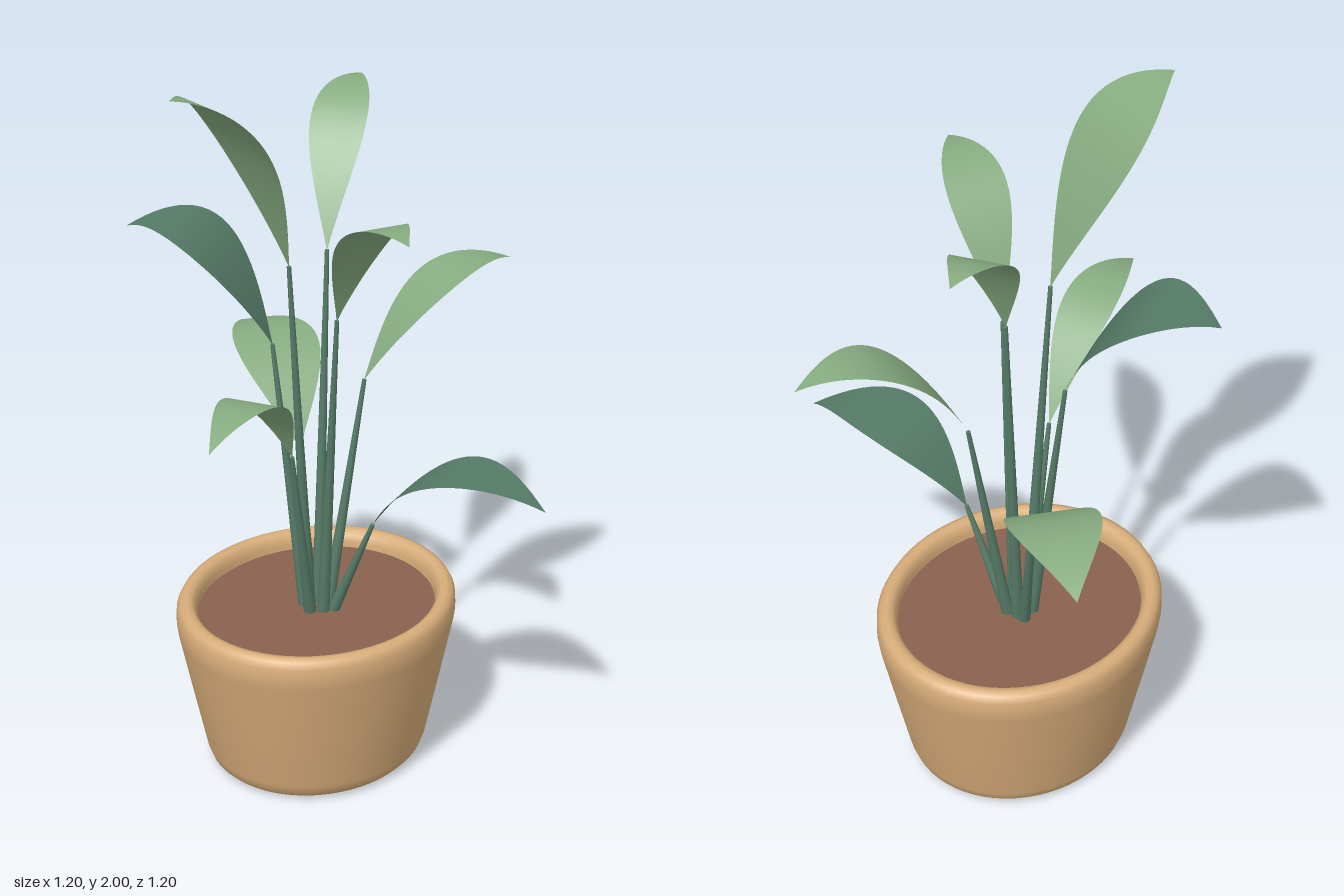
import * as THREE from 'three';

const mat = (name, color, side = THREE.FrontSide) => {
  const m = new THREE.MeshStandardMaterial({ color, side });
  m.name = name;
  return m;
};

// Leaf blade: a pointed oval swept along an arching curve, flat across its width
function bladeGeometry(base, control, tip, halfWidth) {
  const curve = new THREE.QuadraticBezierCurve3(base, control, tip);
  const across = new THREE.Vector3(tip.z - base.z, 0, base.x - tip.x).normalize();
  const geo = new THREE.PlaneGeometry(1, 1, 4, 24);
  const pos = geo.attributes.position;
  const uv = geo.attributes.uv;
  for (let i = 0; i < pos.count; i++) {
    const t = uv.getY(i);
    const w = Math.sin(Math.PI * Math.min(Math.max(t, 0.004), 0.998)) * halfWidth;
    const p = curve.getPoint(t).addScaledVector(across, (0.5 - uv.getX(i)) * 2 * w);
    pos.setXYZ(i, p.x, p.y, p.z);
  }
  geo.computeVertexNormals();
  // Make the front of the blade face upwards
  let up = 0;
  for (let i = 0; i < pos.count; i++) up += geo.attributes.normal.getY(i);
  if (up < 0) {
    const idx = geo.index.array;
    for (let i = 0; i < idx.length; i += 3) [idx[i], idx[i + 1]] = [idx[i + 1], idx[i]];
    geo.computeVertexNormals();
  }
  return geo;
}

// Tapered straight stem between two points
function stemMesh(from, to, material) {
  const dir = to.clone().sub(from);
  const mesh = new THREE.Mesh(new THREE.CylinderGeometry(0.006, 0.018, dir.length(), 10), material);
  mesh.position.copy(from).add(to).multiplyScalar(0.5);
  mesh.quaternion.setFromUnitVectors(new THREE.Vector3(0, 1, 0), dir.normalize());
  mesh.name = 'stem';
  return mesh;
}

export function createModel() {
  const root = new THREE.Group();
  root.name = 'pottedPlant';
  const clay = mat('clay', 0xd8ad7a);
  const soilMat = mat('soil', 0x8a614e);
  const lightLeaf = mat('lightLeaf', 0x86ab80, THREE.DoubleSide);
  const darkLeaf = mat('darkLeaf', 0x567b68, THREE.DoubleSide);

  // Oval pot, slightly off centre, deeper than wide
  const potGroup = new THREE.Group();
  potGroup.name = 'pot';
  potGroup.position.set(-0.08, 0, -0.088);
  potGroup.scale.set(1, 1, 1.145);
  const profile = [
    [0.265, 0.002], [0.282, 0.008], [0.295, 0.022], [0.305, 0.05], [0.342, 0.23], [0.376, 0.4],
    [0.38, 0.43], [0.379, 0.465], [0.37, 0.483], [0.355, 0.49], [0.34, 0.486], [0.33, 0.475], [0.325, 0.455], [0.322, 0.41],
  ].map(([r, y]) => new THREE.Vector2(r, y));
  const wall = new THREE.Mesh(new THREE.LatheGeometry(profile, 64), clay);
  wall.name = 'potWall';
  const floor = new THREE.Mesh(new THREE.CircleGeometry(0.266, 64).rotateX(Math.PI / 2), clay);
  floor.name = 'potBottom';
  floor.position.y = 0.001;
  const soil = new THREE.Mesh(new THREE.CircleGeometry(0.325, 64).rotateX(-Math.PI / 2), soilMat);
  soil.name = 'soil';
  soil.position.y = 0.44;
  potGroup.add(wall, floor, soil);
  root.add(potGroup);

  // Leaves: root [x, z], blade base, blade tip, control height above base, half width, sideways bend
  const leaves = [
    { root: [-0.11, -0.115], base: [-0.195, 0.85, -0.21], tip: [-0.55, 1.04, -0.58], rise: 0.37, half: 0.122 },
    { root: [-0.09, -0.115], base: [-0.102, 1.465, -0.195], tip: [-0.197, 1.84, -0.587], rise: 0.44, half: 0.078, bend: [-0.022, 0.005] },
    { root: [-0.06, -0.115], base: [0.005, 1.1, -0.21], tip: [0.265, 1.37, -0.6], rise: 0.395, half: 0.088, bend: [0.035, 0.023] },
    { root: [-0.035, -0.088], base: [0.093, 0.73, -0.088], tip: [0.6, 0.88, -0.088], rise: 0.344, half: 0.112, dark: true },
    { root: [-0.05, -0.068], base: [0.013, 1.34, -0.027], tip: [0.333, 1.68, 0.213], rise: 0.43, half: 0.083 },
    { root: [-0.08, -0.05], base: [-0.067, 0.97, 0.08], tip: [-0.026, 1.2, 0.597], rise: 0.4, half: 0.075 },
    { root: [-0.09, -0.066], base: [-0.115, 1.48, 0], tip: [-0.272, 2, 0.33], rise: 0.52, half: 0.126 },
    { root: [-0.11, -0.076], base: [-0.2, 1.22, -0.062], tip: [-0.6, 1.52, 0.018], rise: 0.44, half: 0.147, dark: true },
  ];
  for (const { root: [rx, rz], base, tip, rise, half, bend = [0, 0], dark } of leaves) {
    const leaf = new THREE.Group();
    leaf.name = 'leaf';
    const b = new THREE.Vector3(...base);
    const e = new THREE.Vector3(...tip);
    const c = b.clone().lerp(e, 0.42);
    c.set(c.x + bend[0], b.y + rise, c.z + bend[1]);
    const blade = new THREE.Mesh(bladeGeometry(b, c, e, half), dark ? darkLeaf : lightLeaf);
    blade.name = 'blade';
    leaf.add(stemMesh(new THREE.Vector3(rx, 0.42, rz), b, darkLeaf), blade);
    root.add(leaf);
  }
  return root;
}
